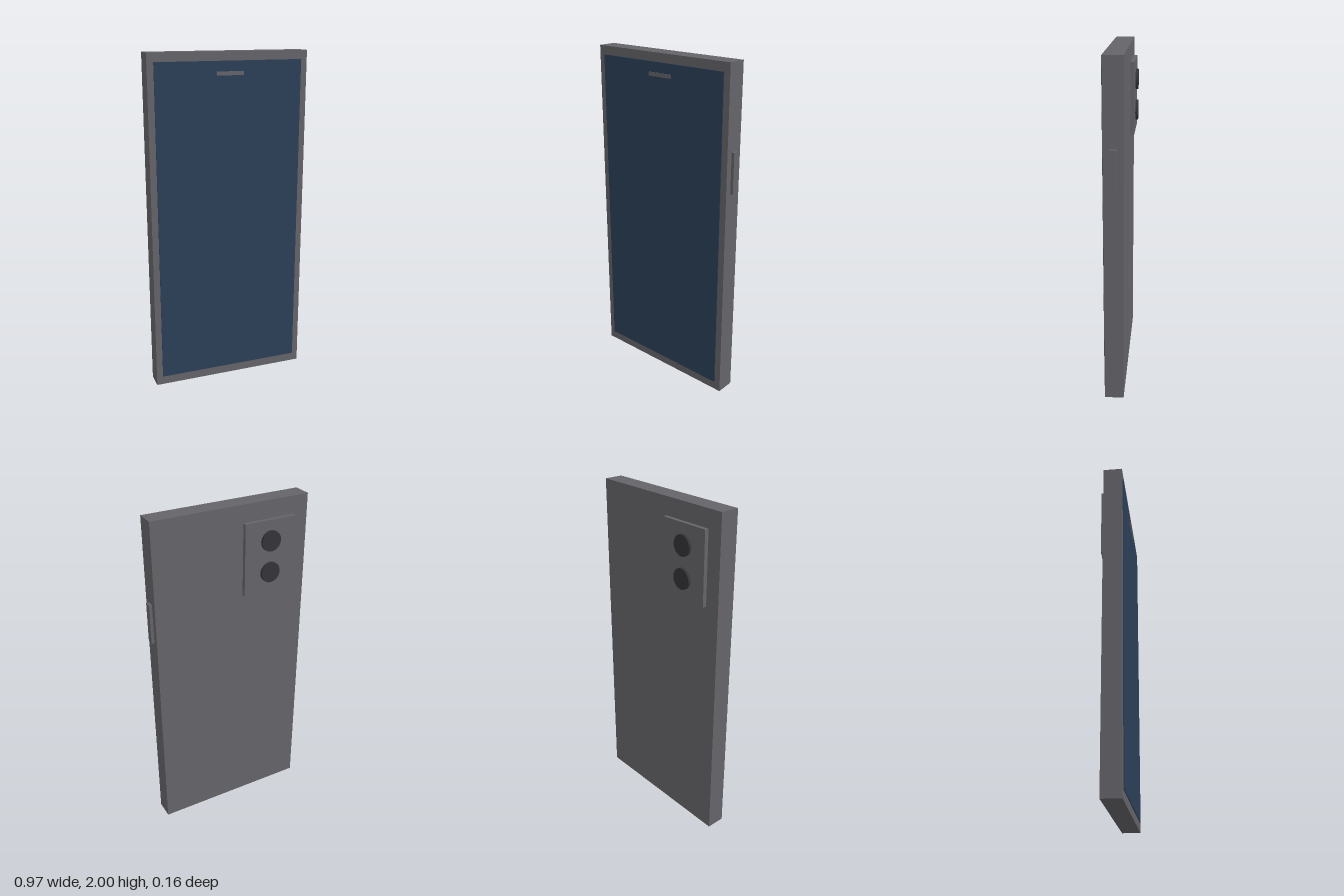
import * as THREE from 'three';

export function createModel() {
  const model = new THREE.Group();
  model.name = 'phone';

  const material = (name, color) => {
    const m = new THREE.MeshStandardMaterial({ color });
    m.name = name;
    return m;
  };
  const grey = material('casing grey', 0x656469);
  const blue = material('screen blue', 0x2c4059);
  const dark = material('lens dark grey', 0x343338);

  // Box given by its extents along each axis
  const slab = (name, mat, [x0, x1], [y0, y1], [z0, z1]) => {
    const mesh = new THREE.Mesh(new THREE.BoxGeometry(x1 - x0, y1 - y0, z1 - z0), mat);
    mesh.position.set((x0 + x1) / 2, (y0 + y1) / 2, (z0 + z1) / 2);
    mesh.name = name;
    model.add(mesh);
  };

  // Casing with the front screen and earpiece slot
  slab('body', grey, [-0.487, 0.469], [0, 2], [-0.042, 0.07]);
  slab('screen', blue, [-0.449, 0.431], [0.053, 1.949], [0.068, 0.075]);
  slab('earpiece', grey, [-0.09, 0.072], [1.869, 1.891], [0.072, 0.079]);

  // Side button
  slab('sideButton', grey, [0.46, 0.486], [1.285, 1.522], [-0.006, 0.033]);

  // Raised camera plate with two lenses on the back
  slab('cameraPlate', grey, [-0.397, -0.075], [1.47, 1.896], [-0.066, -0.04]);
  for (const [name, y] of [['upperLens', 1.776], ['lowerLens', 1.589]]) {
    const lens = new THREE.Mesh(new THREE.CylinderGeometry(0.06, 0.06, 0.021, 32), dark);
    lens.rotation.x = Math.PI / 2;
    lens.position.set(-0.236, y, -0.0705);
    lens.name = name;
    model.add(lens);
  }

  return model;
}
